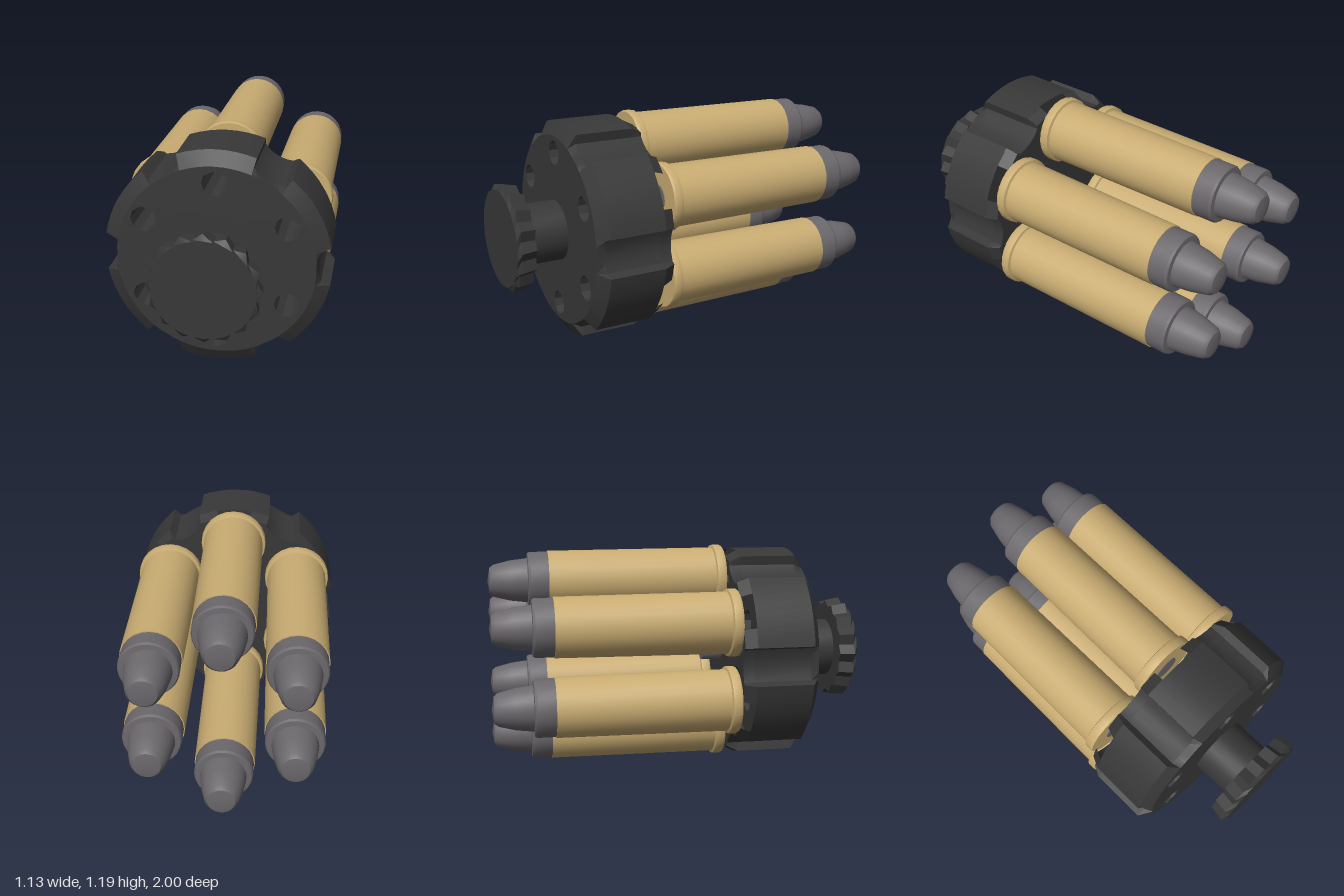
import * as THREE from 'three';
import { toCreasedNormals } from 'three/addons/utils/BufferGeometryUtils.js';

const black = new THREE.MeshStandardMaterial({ name: 'blackPolymer', color: 0x383838 });
const brass = new THREE.MeshStandardMaterial({ name: 'brass', color: 0xc9ac72 });
const lead = new THREE.MeshStandardMaterial({ name: 'leadGrey', color: 0x6b686c });

const CENTER_Y = 0.595, RING = 0.415, BODY_R = 0.575, RECESS_R = 0.18;
const STEP = Math.PI / 3;
const polar = (r, a) => new THREE.Vector2(r * Math.cos(a), r * Math.sin(a));

function addMesh(parent, name, geometry, material) {
  const mesh = new THREE.Mesh(geometry, material);
  mesh.name = name;
  parent.add(mesh);
}

// Revolve [radius, z] pairs, listed from back to front, around the z axis.
function lathe(profile, segments) {
  const g = new THREE.LatheGeometry(profile.map(([r, z]) => new THREE.Vector2(r, z)), segments);
  return toCreasedNormals(g.rotateX(Math.PI / 2), 0.5);
}

// Extrude a shape from z0 to z1, then adjust the radius of every vertex by a rule.
function slab(shape, z0, z1, rule = (r) => r) {
  const g = new THREE.ExtrudeGeometry(shape, { depth: z1 - z0, bevelEnabled: false, curveSegments: 5 });
  const p = g.attributes.position;
  for (let i = 0; i < p.count; i++) {
    const r = Math.hypot(p.getX(i), p.getY(i));
    const k = rule(r, p.getZ(i) > (z1 - z0) / 2) / r;
    p.setXY(i, p.getX(i) * k, p.getY(i) * k);
  }
  return toCreasedNormals(g.translate(0, 0, z0), 0.5);
}

// Round outline with six finger scoops; either cut by cartridge recesses or pierced by round holes.
function bodyShape(recessed) {
  const pts = [];
  const scoop = [[0.567, -0.1], [0.52, -0.085], [0.505, -0.045], [0.5, 0], [0.505, 0.045], [0.52, 0.085], [0.567, 0.1]];
  const edge = Math.atan2(0.1, 0.567);
  const phi = Math.acos((BODY_R ** 2 - RING ** 2 - RECESS_R ** 2) / (2 * RING * RECESS_R));
  for (let k = 0; k < 6; k++) {
    const turn = k * STEP;
    for (const [x, y] of scoop) pts.push(new THREE.Vector2(x, y).rotateAround(new THREE.Vector2(), turn));
    if (recessed) {
      // Walk round the inner side of the recess, clockwise about its centre
      const mid = turn + STEP / 2, c = polar(RING, mid);
      for (let i = 0; i <= 18; i++) {
        const a = mid - phi - (2 * Math.PI - 2 * phi) * i / 18;
        pts.push(polar(RECESS_R, a).add(c));
      }
    } else {
      for (let i = 1; i < 8; i++) pts.push(polar(BODY_R, turn + edge + (STEP - 2 * edge) * i / 8));
    }
  }
  const shape = new THREE.Shape(pts);
  if (!recessed) {
    for (let k = 0; k < 6; k++) {
      const c = polar(RING, (k + 0.5) * STEP);
      const hole = new THREE.Path();
      hole.absarc(c.x, c.y, 0.066, 0, Math.PI * 2, true);
      shape.holes.push(hole);
    }
  }
  return shape;
}

export function createModel() {
  const model = new THREE.Group();
  model.name = 'cartridgeHolder';
  const holder = new THREE.Group();
  holder.name = 'holder';
  holder.position.y = CENTER_Y;
  model.add(holder);

  // Holder body: recessed back lip, main drum, chamfered front
  const drum = bodyShape(false);
  addMesh(holder, 'backLip', slab(bodyShape(true), 0.28, 0.34, (r, front) => front ? r : Math.min(r, 0.545)), black);
  addMesh(holder, 'drum', slab(drum, 0.34, 0.645), black);
  addMesh(holder, 'frontChamfer', slab(drum, 0.645, 0.69, (r, front) => front ? Math.min(r, 0.503) : r), black);

  // Knob with sixteen pointed ridges on a short shaft
  addMesh(holder, 'knobShaft', lathe([[0.16, 0.68], [0.16, 0.91]], 24), black);
  const star = [];
  for (let i = 0; i < 32; i++) star.push(polar(i % 2 ? 0.255 : 0.284, Math.PI / 2 + i * Math.PI / 16));
  const knob = new THREE.Shape(star);
  addMesh(holder, 'knobGrip', slab(knob, 0.9, 0.98, (r, front) => front ? r : r * 0.95), black);
  addMesh(holder, 'knobFace', slab(knob, 0.98, 1, (r, front) => front ? Math.min(r, 0.255) : r), black);

  // Centre release post
  addMesh(holder, 'centrePost', lathe([[0, 0.17], [0.05, 0.17], [0.05, 0.29]], 16), lead);

  // Six cartridges
  const caseGeo = lathe([[0.145, -0.68], [0.157, -0.68], [0.164, 0.22], [0.178, 0.225], [0.18, 0.235],
    [0.18, 0.265], [0.175, 0.275], [0, 0.275]], 24);
  const tipGeo = lathe([[0, -1], [0.07, -0.988], [0.086, -0.968], [0.108, -0.88], [0.119, -0.79],
    [0.145, -0.787], [0.152, -0.775], [0.152, -0.67]], 24);
  const primerGeo = lathe([[0.07, 0.27], [0.07, 0.279], [0, 0.279]], 16);
  for (let k = 0; k < 6; k++) {
    const cartridge = new THREE.Group();
    cartridge.name = 'cartridge' + (k + 1);
    const c = polar(RING, (k + 0.5) * STEP);
    cartridge.position.set(c.x, c.y, 0);
    addMesh(cartridge, 'case', caseGeo, brass);
    addMesh(cartridge, 'bulletTip', tipGeo, lead);
    addMesh(cartridge, 'primer', primerGeo, lead);
    holder.add(cartridge);
  }
  return model;
}
